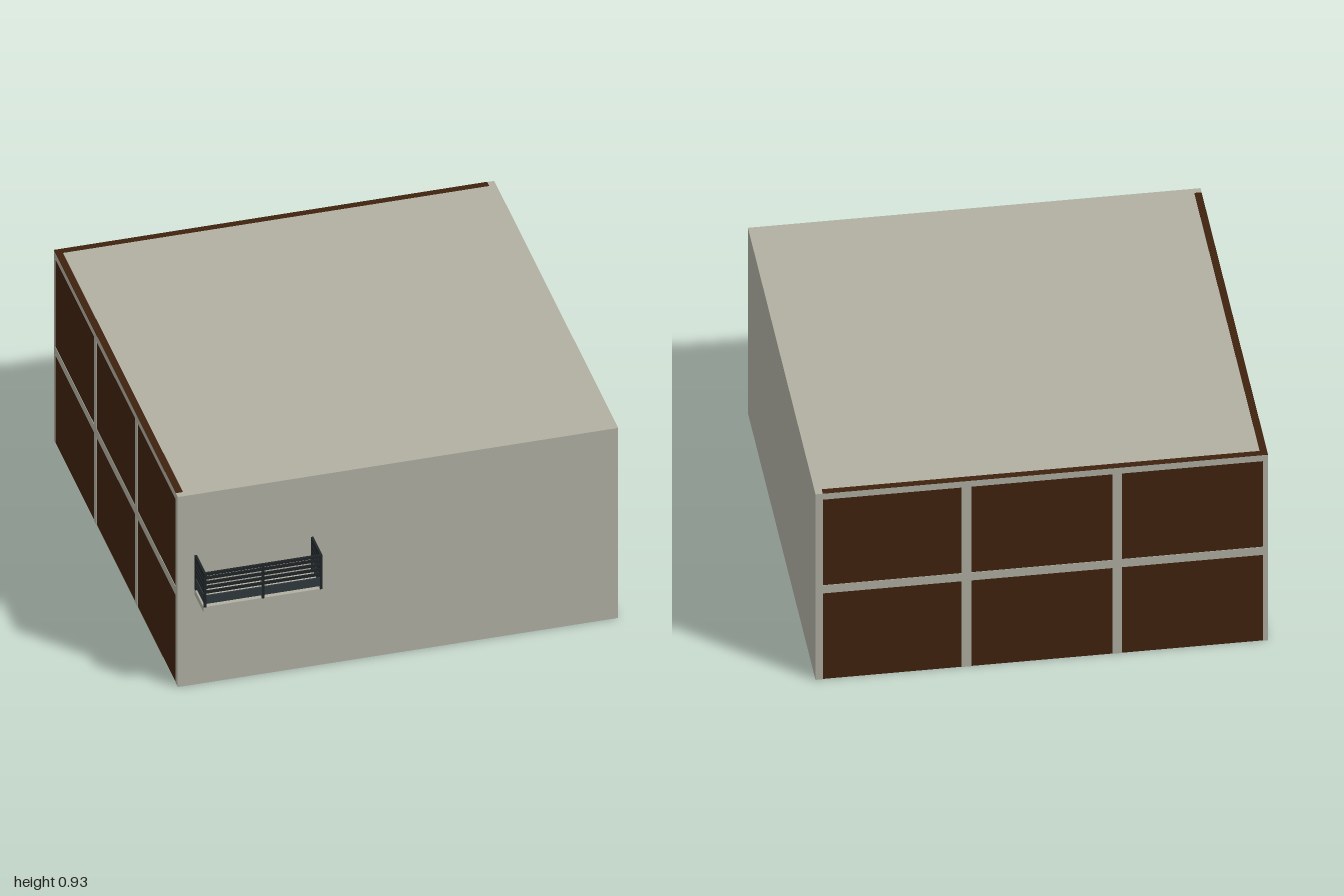
import * as THREE from 'three';

const concrete = new THREE.MeshStandardMaterial({ color: 0xb0afa2 });
concrete.name = 'concrete';
const wood = new THREE.MeshStandardMaterial({ color: 0x40220e });
wood.name = 'brown panel';
const metal = new THREE.MeshStandardMaterial({ color: 0x1e2426 });
metal.name = 'dark metal';
const sheet = new THREE.MeshStandardMaterial({ color: 0x30393d });
sheet.name = 'railing sheet';

// Axis-aligned box given by its extents
function box(parent, name, material, x0, x1, y0, y1, z0, z1) {
  const mesh = new THREE.Mesh(new THREE.BoxGeometry(x1 - x0, y1 - y0, z1 - z0), material);
  mesh.position.set((x0 + x1) / 2, (y0 + y1) / 2, (z0 + z1) / 2);
  mesh.name = name;
  parent.add(mesh);
}

const X = 0.928, BACK = -1, FRONT = 0.86, H = 0.93, T = 0.03;

function createShell() {
  const g = new THREE.Group();
  g.name = 'shell';
  box(g, 'roof', concrete, -X, X, H - T, H, BACK, FRONT);
  box(g, 'frontWall', concrete, -X, X, 0, H - T, FRONT - T, FRONT);
  box(g, 'sideWall', concrete, X - T, X, 0, H - T, BACK, FRONT - T);
  // Brown walls set a hair behind the frame, with their top edges on the roof
  const inset = 0.002;
  box(g, 'backPanel', wood, -X + inset, X - T, 0, H - T, BACK + inset, BACK + T);
  box(g, 'sidePanel', wood, -X + inset, -X + T, 0, H - T, BACK + T, FRONT - T);
  box(g, 'backPanelTop', wood, -X, X - T, H, H + 0.001, BACK, BACK + T);
  box(g, 'sidePanelTop', wood, -X, -X + T, H, H + 0.001, BACK + T, FRONT - T);
  return g;
}

// Flush frame dividing each brown wall into three columns and two rows
function createFrame() {
  const g = new THREE.Group();
  g.name = 'panelFrame';
  const half = 0.02, mid = (H - T) / 2, d = 0.004, top = H - T;
  box(g, 'backRail', concrete, -X, X - T, mid - half, mid + half, BACK, BACK + d);
  box(g, 'sideRail', concrete, -X, -X + d, mid - half, mid + half, BACK, FRONT - T);
  for (const t of [1 / 3, 2 / 3]) {
    const x = -X + 2 * X * t, z = BACK + (FRONT - BACK) * t;
    box(g, 'backMullion', concrete, x - half, x + half, 0, top, BACK, BACK + d);
    box(g, 'sideMullion', concrete, -X, -X + d, 0, top, z - half, z + half);
  }
  box(g, 'backCornerStrip', concrete, -X, -X + 0.02, 0, top, BACK, BACK + d);
  box(g, 'sideCornerStrip', concrete, -X, -X + d, 0, top, BACK, BACK + 0.02);
  return g;
}

function createBalcony() {
  const g = new THREE.Group();
  g.name = 'balcony';
  const x0 = -0.857, x1 = -0.357, z0 = FRONT, z1 = 1, w = 0.01;
  box(g, 'balconySlab', concrete, x0, x1, 0.44, 0.467, z0, z1 - 0.004);

  // Posts
  for (const x of [x0, (x0 + x1 - w) / 2, x1 - w])
    box(g, 'frontPost', metal, x, x + w, 0.467, 0.633, z1 - w, z1);
  for (const x of [x0, x1 - w])
    box(g, 'wallPost', metal, x, x + w, 0.467, 0.633, z0, z0 + w);

  // Horizontal bars and a solid lower sheet on three sides
  const run = (name, material, y0, y1, t) => {
    const e = (w - t) / 2;
    box(g, name, material, x0 + w, x1 - w, y0, y1, z1 - w + e, z1 - e);
    for (const x of [x0, x1 - w])
      box(g, name, material, x + e, x + w - e, y0, y1, z0 + w, z1 - w);
  };
  run('topRail', metal, 0.621, 0.633, w);
  for (let i = 0; i < 4; i++) run('railBar', metal, 0.532 + i * 0.023, 0.545 + i * 0.023, 0.006);
  run('lowerSheet', sheet, 0.482, 0.522, 0.006);
  return g;
}

export function createModel() {
  const model = new THREE.Group();
  model.name = 'balconyBlock';
  model.add(createShell(), createFrame(), createBalcony());
  return model;
}
